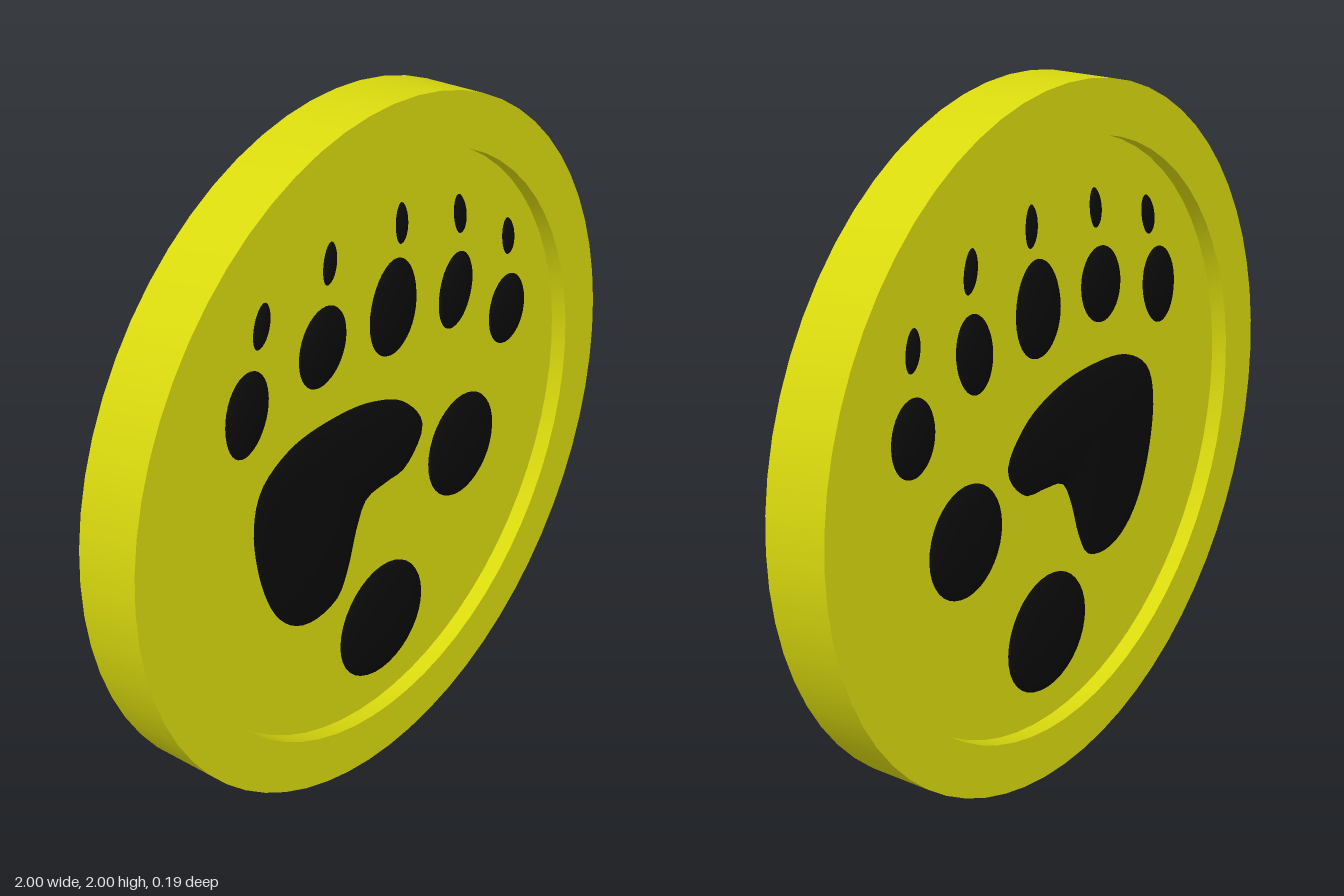
import * as THREE from 'three';
import { toCreasedNormals } from 'three/addons/utils/BufferGeometryUtils.js';

const HALF = 0.094;   // half thickness of the rim
const FLOOR = 0.045;  // half thickness of the recessed disc
const CY = 1;         // height of the disc centre

// Solid running through the disc, with a shallow dome on both faces.
// The outline runs anticlockwise and is shrunk towards (cx, cy).
function domedPad(outline, cx, cy, height) {
  const steps = 7;
  const rings = [];
  for (let j = 0; j <= steps; j++) {
    const a = (j / steps) * Math.PI / 2;
    rings.push([Math.sin(a), FLOOR - 0.004 + height * Math.cos(a)]);
  }
  for (let j = steps; j >= 0; j--) rings.push([rings[j][0], -rings[j][1]]);

  const n = outline.length;
  const position = [], index = [];
  for (const [s, z] of rings) {
    for (const p of outline) position.push(cx + (p.x - cx) * s, cy + (p.y - cy) * s, z);
  }
  for (let j = 0; j < rings.length - 1; j++) {
    for (let i = 0; i < n; i++) {
      const k = (i + 1) % n;
      const a = j * n + i, b = (j + 1) * n + i, c = (j + 1) * n + k, d = j * n + k;
      if (j < rings.length - 2) index.push(a, b, c);
      else index.push(a, b, d);
      if (j > 0 && j < rings.length - 2) index.push(a, c, d);
    }
  }
  const g = new THREE.BufferGeometry();
  g.setAttribute('position', new THREE.Float32BufferAttribute(position, 3));
  g.setIndex(index);
  return toCreasedNormals(g, 0.7);
}

// Tilted oval, narrower towards its top by the taper amount
function oval(cx, cy, rx, ry, tilt, taper) {
  const pts = [], n = 36;
  for (let i = 0; i < n; i++) {
    const t = (i / n) * Math.PI * 2;
    const x = rx * Math.cos(t) * (1 - taper * Math.sin(t));
    const y = ry * Math.sin(t);
    pts.push(new THREE.Vector2(
      cx + x * Math.cos(tilt) - y * Math.sin(tilt),
      cy + x * Math.sin(tilt) + y * Math.cos(tilt)));
  }
  return pts;
}

export function createModel() {
  const yellow = new THREE.MeshStandardMaterial({ color: 0xdada0e });
  const black = new THREE.MeshStandardMaterial({ color: 0x0a0a0a });
  const model = new THREE.Group();
  model.name = 'pawMedallion';

  const add = (name, geometry, material) => {
    const mesh = new THREE.Mesh(geometry, material);
    mesh.name = name;
    model.add(mesh);
    return mesh;
  };

  // Disc with a raised rim on both faces
  const profile = [
    [0, -FLOOR], [0.85, -FLOOR], [0.85, -HALF], [1, -HALF],
    [1, HALF], [0.85, HALF], [0.85, FLOOR], [0, FLOOR],
  ].map(([r, y]) => new THREE.Vector2(r, y));
  const disc = new THREE.LatheGeometry(profile, 64);
  disc.rotateX(Math.PI / 2);
  add('disc', toCreasedNormals(disc, 0.5), yellow).position.y = CY;

  // Large bent palm pad
  const palm = [
    [-0.27, 0.567], [-0.18, 0.59], [-0.136, 0.66], [-0.09, 0.79], [-0.05, 0.855],
    [0.04, 0.87], [0.13, 0.88], [0.21, 0.98], [0.126, 1.09], [-0.02, 1.152],
    [-0.18, 1.172], [-0.366, 1.155], [-0.484, 1.085], [-0.52, 0.98],
    [-0.498, 0.8], [-0.436, 0.66], [-0.356, 0.588],
  ].map(([x, y]) => new THREE.Vector3(x, y, 0));
  const palmOutline = new THREE.CatmullRomCurve3(palm, true).getSpacedPoints(72).slice(0, -1);
  add('palmPad', domedPad(palmOutline, -0.2, 1.0, 0.034), black);

  // Oval pads: name, centre x and y, radii, tilt, taper, dome height
  const ovals = [
    ['heelPad', 0.02, 0.425, 0.19, 0.18, 0, 0.03, 0.034],
    ['sidePad', 0.39, 0.84, 0.158, 0.163, 0, 0, 0.034],
    ['toe1', -0.53, 1.32, 0.08, 0.12, -0.2, -0.08, 0.03],
    ['toe2', -0.232, 1.395, 0.094, 0.115, -0.3, -0.03, 0.03],
    ['toe3', 0.065, 1.4, 0.101, 0.142, -0.1, 0.06, 0.03],
    ['toe4', 0.345, 1.35, 0.075, 0.115, -0.18, -0.03, 0.03],
    ['toe5', 0.6, 1.2, 0.087, 0.11, 0, 0, 0.03],
    ['claw1', -0.465, 1.543, 0.029, 0.063, -0.27, 0, 0.02],
    ['claw2', -0.2, 1.62, 0.025, 0.06, -0.15, 0, 0.02],
    ['claw3', 0.097, 1.633, 0.024, 0.061, 0.02, 0, 0.02],
    ['claw4', 0.358, 1.575, 0.026, 0.062, 0.17, 0, 0.02],
    ['claw5', 0.594, 1.43, 0.027, 0.06, 0.14, 0, 0.02],
  ];
  for (const [name, x, y, rx, ry, tilt, taper, height] of ovals) {
    add(name, domedPad(oval(x, y, rx, ry, tilt, taper), x, y, height), black);
  }
  return model;
}
